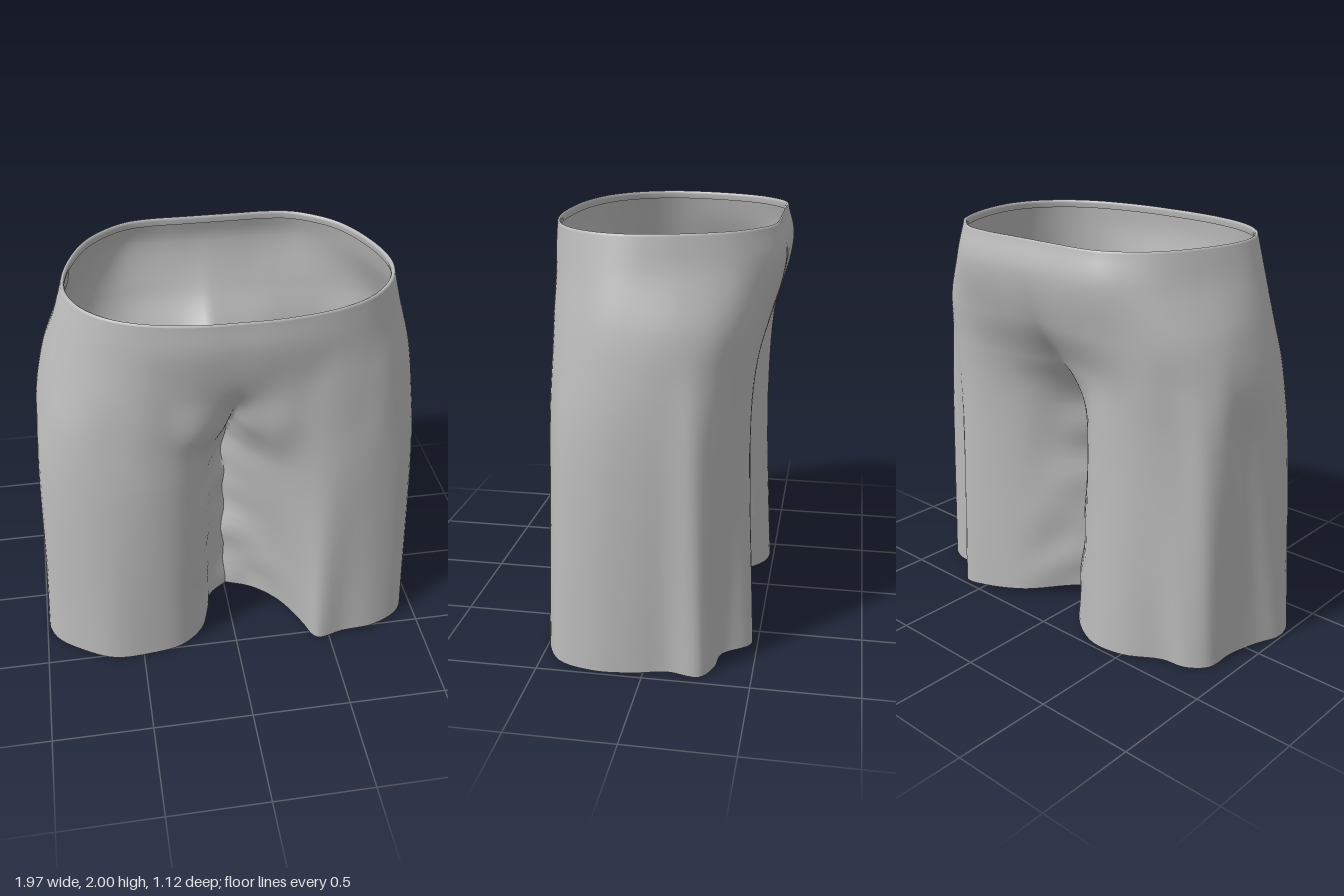
import * as THREE from 'three';
import { mergeVertices, mergeGeometries } from 'three/addons/utils/BufferGeometryUtils.js';

// Half cross-sections [x, z], running from front centre round the outside to back centre.
const waist = [[0, .53], [.12, .53], [.24, .52], [.36, .5], [.47, .47], [.58, .42], [.67, .35], [.74, .26], [.78, .16], [.79, .06],
  [.77, -.07], [.735, -.18], [.69, -.28], [.63, -.37], [.54, -.45], [.43, -.51], [.3, -.53], [.15, -.53], [0, -.53]];
const hip = [[0, .48], [.1, .49], [.21, .5], [.32, .5], [.45, .5], [.58, .47], [.71, .41], [.81, .31], [.88, .18], [.9, .03],
  [.89, -.12], [.86, -.22], [.81, -.31], [.73, -.39], [.61, -.46], [.47, -.5], [.3, -.51], [.14, -.505], [0, -.49]];
const crotch = [[0, .31], [.07, .42], [.18, .485], [.31, .5], [.44, .51], [.57, .49], [.72, .44], [.84, .34], [.915, .19], [.935, .03],
  [.92, -.12], [.895, -.225], [.83, -.31], [.735, -.375], [.615, -.44], [.475, -.455], [.3, -.43], [.13, -.39], [0, -.33]];
const thighLeft = [[0, .1], [.09, .26], [.2, .4], [.31, .48], [.43, .52], [.57, .51], [.73, .46], [.87, .37], [.945, .2], [.955, .04],
  [.94, -.11], [.93, -.23], [.85, -.31], [.74, -.36], [.62, -.43], [.48, -.43], [.28, -.36], [.12, -.25], [0, -.14]];
const hemLeft = [[0, .1], [.14, .15], [.28, .27], [.37, .43], [.43, .55], [.58, .52], [.76, .5], [.92, .41], [.98, .23], [.97, .05],
  [.935, -.11], [.955, -.26], [.86, -.32], [.74, -.34], [.63, -.47], [.5, -.45], [.28, -.36], [.1, -.22], [0, -.13]];
const thighRight = [[0, .1], [.07, .22], [.14, .35], [.22, .46], [.34, .51], [.5, .52], [.67, .48], [.82, .39], [.93, .23], [.925, .05],
  [.9, -.08], [.9, -.2], [.85, -.3], [.75, -.35], [.6, -.42], [.44, -.44], [.27, -.41], [.12, -.29], [0, -.14]];
const hemRight = [[0, .1], [.09, .16], [.12, .26], [.17, .39], [.29, .485], [.47, .52], [.65, .52], [.8, .45], [.95, .33], [.99, .2],
  [.94, .06], [.9, -.1], [.89, -.26], [.8, -.34], [.68, -.36], [.5, -.46], [.3, -.47], [.1, -.34], [0, -.13]];

const ROWS = 100, COLS = 90, CROTCH_ROW = 80;

// Surface from rows of points; flip reverses the facing
function gridGeometry(rows, flip) {
  const n = rows[0].length, index = [];
  for (let r = 0; r < rows.length - 1; r++) {
    for (let c = 0; c < n - 1; c++) {
      const a = r * n + c, b = a + n, d = a + 1, e = b + 1;
      index.push(...(flip ? [a, d, b, d, e, b] : [a, b, d, d, b, e]));
    }
  }
  const g = new THREE.BufferGeometry().setFromPoints(rows.flat());
  g.setIndex(index);
  return g;
}

// Small gathers close to the inner seam, fading out towards waist and outside
function wrinkle(p, side) {
  const low = THREE.MathUtils.smoothstep(1.35 - p.y, 0, .5);
  const near = Math.exp(-((p.x / .12) ** 2)) * low;
  const fold = Math.exp(-(((Math.abs(p.x) - .16) / .1) ** 2)) * low;
  p.x += near * (-.01 + .008 * Math.sin(p.y * 24) + .006 * Math.sin(p.y * 11)) * Math.min(1, p.y * 4);
  p.z += near * .012 * Math.sin(p.y * 17);
  p.z += (side > 0 ? .009 : .003) * fold * Math.sin(p.y * 15 + 2 * Math.sin(p.y * 4) + p.x * 9);
  return p;
}

// Rows of one half, from waist to hem
function halfRows(side) {
  const left = side > 0;
  const levels = [
    waist.map(([x, z]) => [x * (left ? 1 : .945), 1.99, z]),
    waist.map(([x, z]) => [x * (left ? 1.045 : 1), 1.85, z * (z < 0 ? 1.055 : 1.01)]),
    hip.map(([x, z]) => [x * (left ? 1 : .965), 1.6, z]),
    crotch.map(([x, z]) => [x * (left ? 1 : .98), 1.38, z]),
    (left ? thighLeft : thighRight).map(([x, z]) => [x, 1.1, z]),
    (left ? hemLeft : hemRight).map(([x, z]) => [x, .055 * Math.exp(-((x / (left ? .3 : .12)) ** 2)), z])
  ];
  const columns = waist.map((_, i) => new THREE.CatmullRomCurve3(
    levels.map(l => new THREE.Vector3(side * l[i][0], l[i][1], l[i][2]))));
  const rows = [];
  for (let r = 0; r <= ROWS; r++) {
    const ring = new THREE.CatmullRomCurve3(columns.map(c => c.getPoint(r / ROWS)));
    const row = [];
    for (let c = 0; c <= COLS; c++) {
      const p = ring.getPoint(c / COLS);
      if (c === 0 || c === COLS) p.x = 0;
      row.push(wrinkle(p, side));
    }
    rows.push(row);
  }
  return rows;
}

// Thin rolled waist edge that turns just inside the opening
function rimRows(top) {
  const steps = [[.982, 1.96], [.974, 1.985], [.978, 1.996], [.988, 2], [.997, 1.997], [1, 1.99]];
  return steps.map(([k, y]) => top.map(p => new THREE.Vector3(p.x * k, y, p.z * k)));
}

// Inner leg wall closing the section below the crotch
function inseamRows(rows, side) {
  return rows.slice(CROTCH_ROW).map((row, r) => {
    const front = row[0], back = row[COLS], out = [];
    for (let i = 0; i <= 10; i++) {
      const p = back.clone().lerp(front, i / 10);
      p.x += side * .045 * Math.sin(Math.PI * i / 10) * Math.min(1, r / 4);
      out.push(p);
    }
    return out;
  });
}

export function createModel() {
  const group = new THREE.Group();
  group.name = 'shorts';
  const fabric = new THREE.MeshStandardMaterial({ color: 0xbababa, side: THREE.DoubleSide });
  fabric.name = 'grey fabric';

  const add = (name, geometries) => {
    const g = mergeVertices(mergeGeometries(geometries), 1e-4);
    g.computeVertexNormals();
    const mesh = new THREE.Mesh(g, fabric);
    mesh.name = name;
    group.add(mesh);
  };

  const left = halfRows(1), right = halfRows(-1);
  // Both halves are welded along the centre seam
  add('seat and legs', [gridGeometry(left, false), gridGeometry(right, true)]);
  add('waistband rim', [gridGeometry(rimRows(left[0]), false), gridGeometry(rimRows(right[0]), true)]);
  add('left inseam', [gridGeometry(inseamRows(left, 1), false)]);
  add('right inseam', [gridGeometry(inseamRows(right, -1), true)]);
  return group;
}
